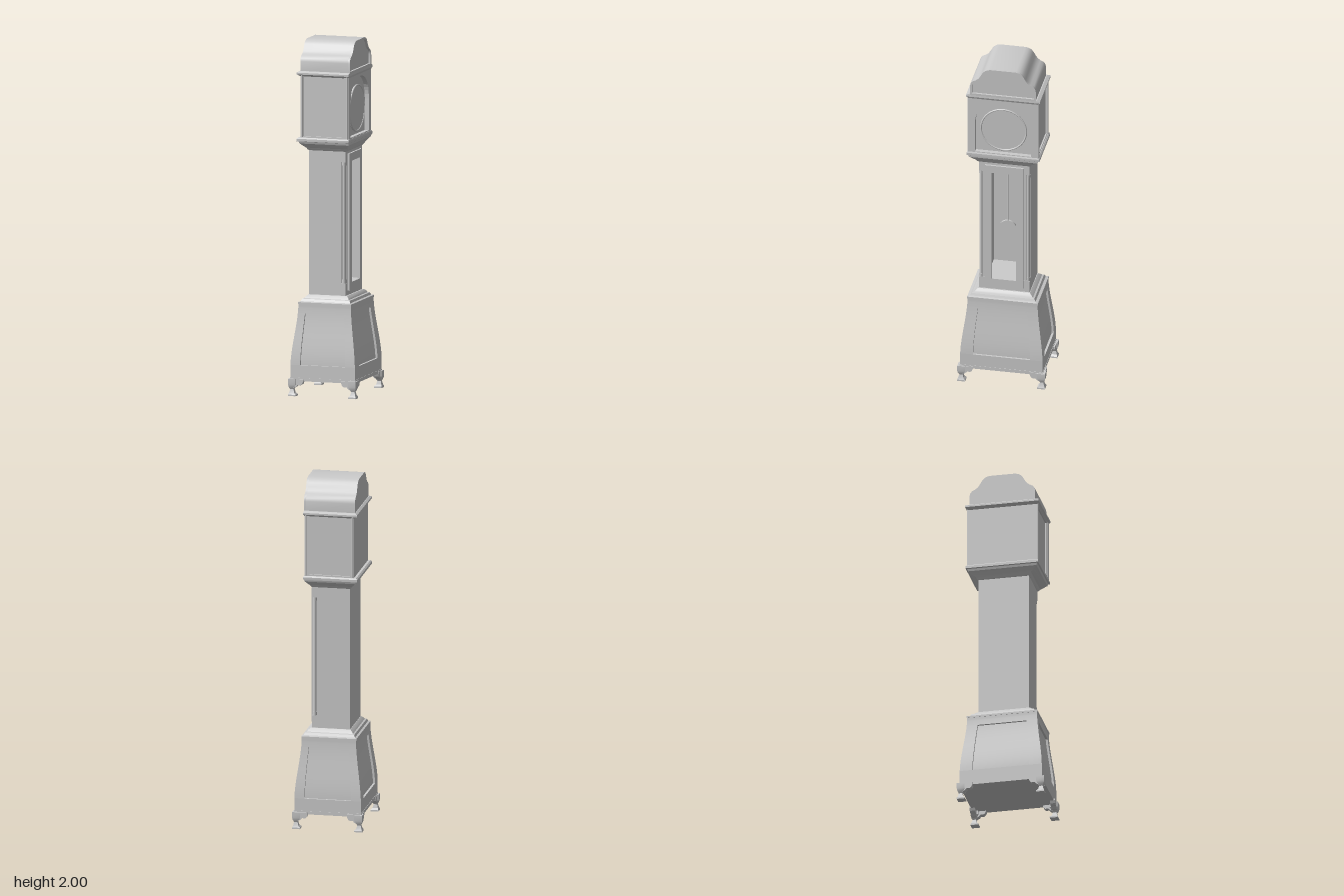
import * as THREE from 'three';
import { toCreasedNormals } from 'three/addons/utils/BufferGeometryUtils.js';

const material = new THREE.MeshStandardMaterial({ color: 0xcccccc });

function add(group, name, geo, x = 0, y = 0, z = 0) {
  const mesh = new THREE.Mesh(geo, material);
  mesh.name = name;
  mesh.position.set(x, y, z);
  group.add(mesh);
  return mesh;
}

// Closed stack of rectangular rings [y, x0, x1, z0, z1], bottom to top
function rectLoft(rings) {
  const pos = [], idx = [];
  for (const [y, x0, x1, z0, z1] of rings) pos.push(x0, y, z1, x1, y, z1, x1, y, z0, x0, y, z0);
  for (let i = 0; i < rings.length - 1; i++) {
    for (let k = 0; k < 4; k++) {
      const a = i * 4 + k, b = i * 4 + (k + 1) % 4;
      idx.push(a, b, b + 4, a, b + 4, a + 4);
    }
  }
  const t = (rings.length - 1) * 4;
  idx.push(0, 2, 1, 0, 3, 2, t, t + 1, t + 2, t, t + 2, t + 3);
  const geo = new THREE.BufferGeometry();
  geo.setAttribute('position', new THREE.Float32BufferAttribute(pos, 3));
  geo.setIndex(idx);
  return toCreasedNormals(geo, 0.4);
}
// Moulding rings [y, x0, x1, half depth]
const moulding = rings => rectLoft(rings.map(([y, x0, x1, z]) => [y, x0, x1, -z, z]));

const block = (x0, x1, y0, y1, z) => moulding([[y0, x0, x1, z], [y1, x0, x1, z]]);

const shapeOf = pts => new THREE.Shape(pts.map(p => new THREE.Vector2(...p)));
const rectPts = (x0, x1, y0, y1) => [[x0, y0], [x1, y0], [x1, y1], [x0, y1]];

function plate(outer, hole, depth) {
  const shape = shapeOf(outer);
  if (hole) shape.holes.push(shapeOf(hole));
  return new THREE.ExtrudeGeometry(shape, { depth, bevelEnabled: false });
}
// Plate facing the dial side (+x)
const frontPlate = (outer, hole, depth) => plate(outer, hole, depth).rotateY(Math.PI / 2);

// Inset of the swelling base at height y
function inset(y) {
  const t = Math.min(1, Math.max(0, (y - 0.18) / 0.32));
  return 0.035 * t * t * (3 - 2 * t) * 0.6 + 0.035 * t * 0.4;
}

// Curved frame bar: unit box moved onto the swelling surface
function curvedBar(halfWidth, dist, y0, y1, left, right) {
  const geo = new THREE.BoxGeometry(1, 1, 1, 1, 12, 1);
  const p = geo.attributes.position;
  for (let i = 0; i < p.count; i++) {
    const y = y0 + (y1 - y0) * (p.getY(i) + 0.5);
    const d = p.getZ(i) > 0 ? 0 : 0.014;
    const edge = halfWidth - inset(y) - d;
    const u = p.getX(i) < 0 ? left(y, edge) : right(y, edge);
    p.setXYZ(i, u, y, dist - inset(y) - d);
  }
  geo.computeVertexNormals();
  return geo;
}

function createBase() {
  const g = new THREE.Group();
  g.name = 'base';
  const rings = [];
  for (let i = 0; i <= 12; i++) {
    const y = 0.1 + 0.42 * i / 12, d = inset(y) + 0.012;
    rings.push([y, -0.19 + d, 0.19 - d, 0.235 - d]);
  }
  add(g, 'baseCore', moulding(rings));
  add(g, 'basePlinth', block(-0.192, 0.192, 0.085, 0.104, 0.237));

  // Panel frame on each of the four sides
  for (let k = 0; k < 4; k++) {
    const facesX = k % 2 === 1;
    const [w, dist, top, bottom] = facesX ? [0.235, 0.19, 0.14, 0.163] : [0.19, 0.235, 0.115, 0.133];
    const panel = y => bottom + (top - bottom) * Math.min(1, Math.max(0, (y - 0.175) / 0.29)) ** 1.5;
    const L = (y, e) => -e, R = (y, e) => e;
    const bars = [
      [0.1, 0.175, L, R], [0.465, 0.52, L, R],
      [0.175, 0.465, L, y => -panel(y)], [0.175, 0.465, y => panel(y), R],
    ];
    for (const [y0, y1, l, r] of bars) add(g, 'basePanelFrame', curvedBar(w, dist, y0, y1, l, r).rotateY(k * Math.PI / 2));
  }

  // Stepped moulding up to the trunk
  add(g, 'baseMoulding', moulding([
    [0.515, -0.157, 0.157, 0.202], [0.526, -0.157, 0.157, 0.202], [0.53, -0.146, 0.146, 0.186],
    [0.543, -0.14, 0.14, 0.178], [0.546, -0.131, 0.131, 0.168], [0.555, -0.124, 0.126, 0.16], [0.565, -0.112, 0.114, 0.148],
  ]));
  return g;
}

function createFoot(sx, sz) {
  const g = new THREE.Group();
  g.name = 'foot';
  const span = (s, a, b) => s > 0 ? [a, b] : [-b, -a];
  const profile = [[0, 0.155, 0.2], [0.008, 0.155, 0.2], [0.018, 0.165, 0.195], [0.038, 0.17, 0.19],
    [0.052, 0.162, 0.197], [0.065, 0.155, 0.2], [0.097, 0.155, 0.2]];
  add(g, 'footLeg', rectLoft(profile.map(([y, a, b]) => [y, ...span(sx, a, b), ...span(sz, a + 0.05, b + 0.05)])));
  // Scrolled bracket wings along both sides
  const wing = () => plate([[-0.03, 0.045], [-0.045, 0.052], [-0.056, 0.064], [-0.072, 0.062],
    [-0.082, 0.07], [-0.088, 0.085], [-0.088, 0.097], [-0.03, 0.097]], null, 0.03).translate(0, 0, -0.015);
  add(g, 'footWing', wing().rotateY(sx > 0 ? 0 : Math.PI), sx * 0.2, 0, sz * 0.23);
  add(g, 'footWing', wing().rotateY(sz > 0 ? -Math.PI / 2 : Math.PI / 2), sx * 0.18, 0, sz * 0.25);
  return g;
}

function createTrunk() {
  const g = new THREE.Group();
  g.name = 'trunk';
  // Hollow case with notched front corners, open toward the door
  const half = [[0.105, 0.1], [0.105, 0.124], [0.08, 0.124], [0.08, 0.145], [-0.11, 0.145]];
  const outline = [...half, ...half.map(([x, z]) => [x, -z]).reverse(), [-0.095, -0.1], [-0.095, 0.1]];
  outline.splice(10, 2, [-0.095, -0.1], [-0.095, 0.1]);
  add(g, 'trunkCase', plate(outline, null, 0.705).rotateX(-Math.PI / 2), 0, 0.625, 0);
  add(g, 'trunkFoot', block(-0.11, 0.106, 0.55, 0.635, 0.145));
  add(g, 'trunkHead', block(-0.11, 0.106, 1.32, 1.4, 0.145));
  add(g, 'door', frontPlate(rectPts(-0.11, 0.11, 0.59, 1.365), rectPts(-0.07, 0.07, 0.635, 1.32), 0.013), 0.104);

  // Slim corner columns
  for (const s of [-1, 1]) {
    add(g, 'cornerColumn', new THREE.CylinderGeometry(0.0095, 0.0095, 0.68, 16), 0.093, 0.977, s * 0.134);
    for (const y of [0.645, 1.31]) add(g, 'columnCap', new THREE.CylinderGeometry(0.012, 0.012, 0.02, 16), 0.093, y, s * 0.134);
  }

  // Pendulum
  add(g, 'pendulumRod', new THREE.CylinderGeometry(0.003, 0.003, 0.42, 8), 0, 1.13, 0);
  add(g, 'pendulumBob', new THREE.CylinderGeometry(0.05, 0.05, 0.012, 40).rotateZ(Math.PI / 2), 0, 0.905, 0);
  return g;
}

function createHood() {
  const g = new THREE.Group();
  g.name = 'hood';
  // Flared moulding under the hood
  add(g, 'hoodCornice', moulding([
    [1.38, -0.112, 0.108, 0.147], [1.387, -0.118, 0.115, 0.153], [1.395, -0.122, 0.119, 0.158],
    [1.408, -0.136, 0.128, 0.178], [1.418, -0.144, 0.134, 0.188], [1.422, -0.15, 0.14, 0.195],
    [1.434, -0.154, 0.142, 0.2], [1.436, -0.163, 0.145, 0.208], [1.45, -0.163, 0.145, 0.208], [1.457, -0.155, 0.142, 0.2],
  ]));
  add(g, 'hoodBox', block(-0.142, 0.115, 1.45, 1.815, 0.188));

  // Side frames and slim columns
  for (const s of [-1, 1]) {
    add(g, 'sideFrame', plate(rectPts(-0.142, 0.13, 1.45, 1.815), rectPts(-0.125, 0.112, 1.465, 1.8), 0.01), 0, 0, s > 0 ? 0.187 : -0.197);
    for (const x of [-0.134, 0.132]) {
      add(g, 'hoodColumn', new THREE.CylinderGeometry(0.006, 0.006, 0.35, 12), x, 1.635, s * 0.199);
    }
  }

  // Front door with arched opening
  const arch = [[-0.16, 1.462], [0.16, 1.462]];
  for (let i = 0; i <= 24; i++) {
    const a = Math.PI * i / 24;
    arch.push([0.16 * Math.sign(Math.cos(a)) * Math.abs(Math.cos(a)) ** 0.85, 1.64 + 0.15 * Math.sin(a) ** 0.85]);
  }
  add(g, 'hoodDoor', frontPlate(rectPts(-0.2, 0.2, 1.45, 1.818), arch, 0.026), 0.114);

  // Dial and its ring
  add(g, 'dial', new THREE.CylinderGeometry(0.128, 0.128, 0.012, 64).rotateZ(Math.PI / 2), 0.119, 1.61, 0);
  add(g, 'dialRing', new THREE.TorusGeometry(0.129, 0.005, 8, 64).rotateY(Math.PI / 2), 0.124, 1.61, 0);

  add(g, 'topMoulding', moulding([
    [1.803, -0.146, 0.14, 0.198], [1.81, -0.155, 0.143, 0.204], [1.814, -0.162, 0.145, 0.211],
    [1.824, -0.162, 0.145, 0.211], [1.832, -0.15, 0.143, 0.194],
  ]));

  // Bonnet roof with a raised rim round the front gable
  const side = [[0.188, 1.825], [0.188, 1.885], [0.184, 1.902], [0.174, 1.915], [0.156, 1.924], [0.14, 1.936],
    [0.127, 1.955], [0.116, 1.975], [0.104, 1.988], [0.09, 1.996], [0.072, 2.0]];
  const roof = [...side, ...side.map(([z, y]) => [-z, y]).reverse()];
  const inner = roof.map(([z, y]) => [z * 0.94, 1.838 + (y - 1.825) * 0.86]);
  add(g, 'roof', toCreasedNormals(frontPlate(roof, null, 0.28), 0.6), -0.147);
  add(g, 'gableRim', toCreasedNormals(frontPlate(roof, inner, 0.012), 0.6), 0.133);
  return g;
}

export function createModel() {
  const model = new THREE.Group();
  model.name = 'longcaseClock';
  model.add(createBase(), createTrunk(), createHood());
  for (const sx of [-1, 1]) for (const sz of [-1, 1]) model.add(createFoot(sx, sz));
  return model;
}
